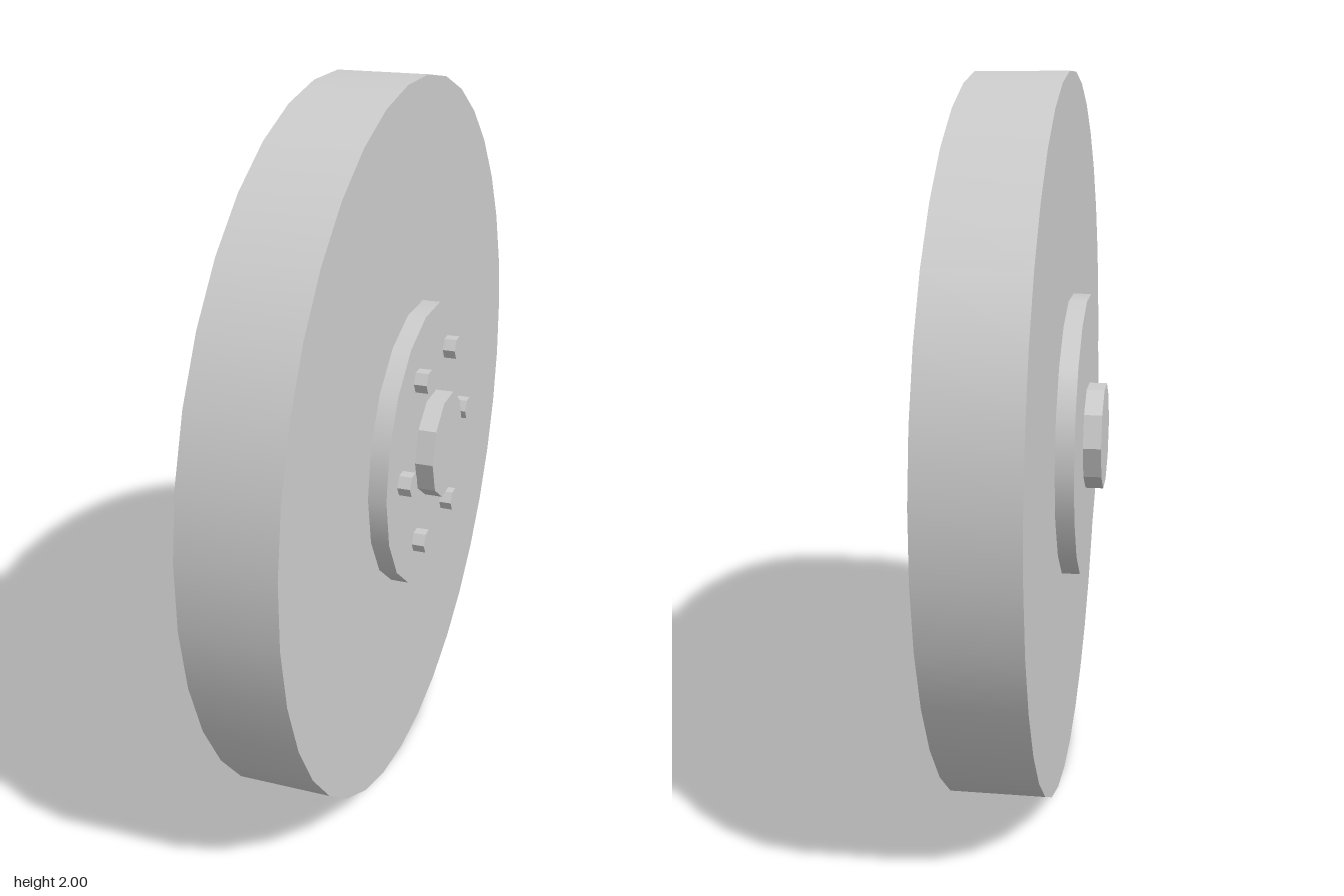
import * as THREE from 'three';

const steel = new THREE.MeshStandardMaterial({ color: 0xcccccc });
steel.name = 'light grey steel';

// Disc lying along the x axis, from x0 to x1
function disc(name, radius, x0, x1, sides, { start = 0, faceted = false, y = 1, z = 0 } = {}) {
  let geometry = new THREE.CylinderGeometry(radius, radius, x1 - x0, sides, 1, false, start);
  geometry.rotateZ(-Math.PI / 2);
  if (faceted) {
    geometry = geometry.toNonIndexed();
    geometry.computeVertexNormals();
  }
  const mesh = new THREE.Mesh(geometry, steel);
  mesh.name = name;
  mesh.position.set((x0 + x1) / 2, y, z);
  return mesh;
}

export function createModel() {
  const model = new THREE.Group();
  model.name = 'wheel';

  // Main disc, turned half a facet so that it rests on a flat
  const half = Math.PI / 36;
  model.add(disc('rim', 1 / Math.cos(half), -0.125, 0.125, 36, { start: half }));

  // Hub plates and axle stubs on both sides
  for (const [side, s] of [['left', 1], ['right', -1]]) {
    const plate = [0.125 * s, 0.175 * s].sort((a, b) => a - b);
    const stub = [0.175 * s, 0.225 * s].sort((a, b) => a - b);
    model.add(disc(side + 'HubPlate', 0.4, ...plate, 18));
    model.add(disc(side + 'Axle', 0.15, ...stub, 10, { faceted: true }));
  }

  // Ring of six hexagonal bolts on the left face
  const bolts = new THREE.Group();
  bolts.name = 'bolts';
  for (let i = 0; i < 6; i++) {
    const a = (i * Math.PI) / 3;
    bolts.add(disc('bolt', 0.0325, 0.175, 0.21, 6, {
      faceted: true,
      y: 1 + 0.277 * Math.sin(a),
      z: 0.277 * Math.cos(a),
    }));
  }
  model.add(bolts);
  return model;
}
